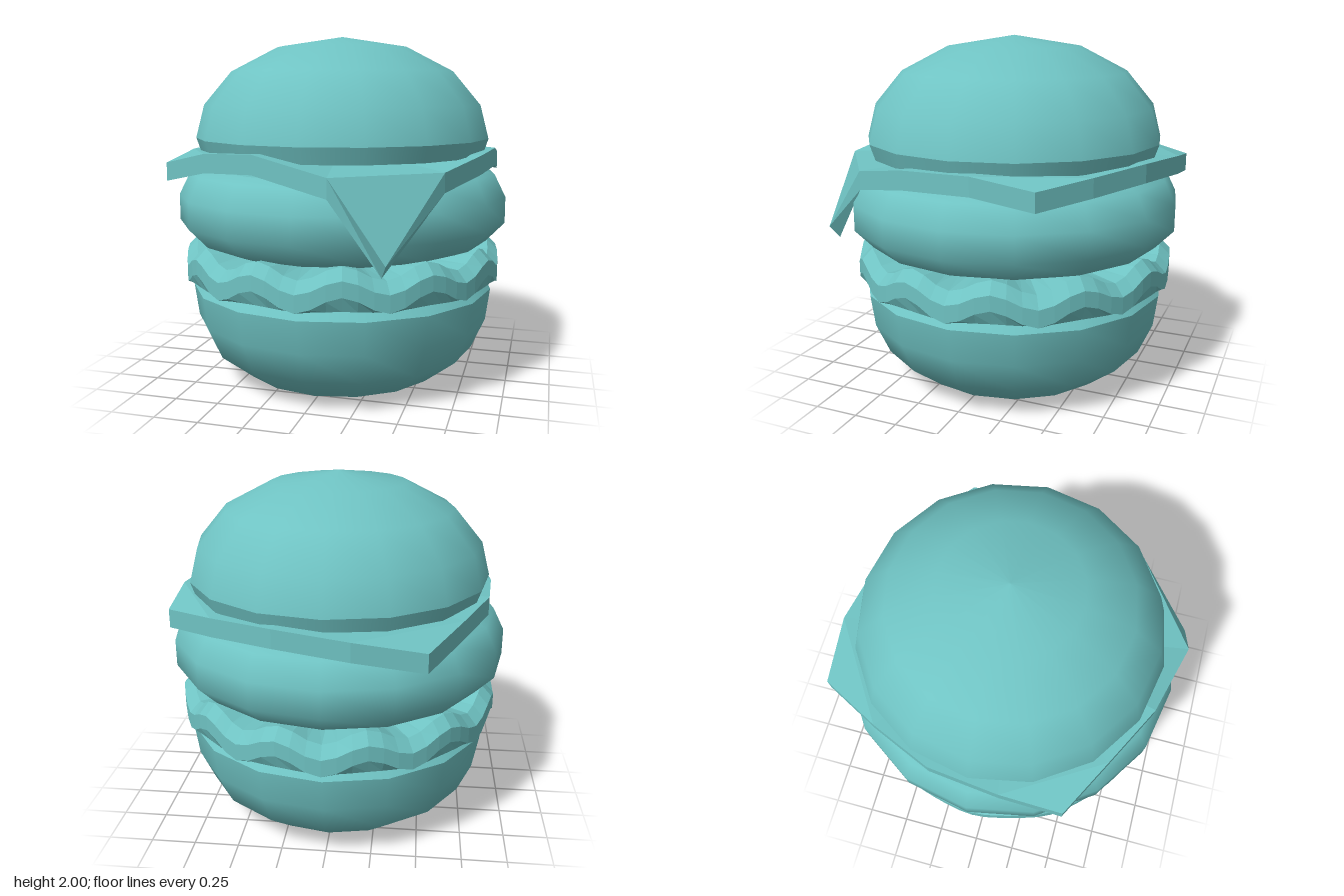
import * as THREE from 'three';
import { mergeGeometries } from 'three/addons/utils/BufferGeometryUtils.js';

const COLOR = 0x6fc3c3;
const CENTER_Z = -0.02;

function addMesh(group, name, geometry, flatShading) {
  const material = new THREE.MeshStandardMaterial({ color: COLOR, flatShading });
  const mesh = new THREE.Mesh(geometry, material);
  mesh.name = name;
  group.add(mesh);
  return mesh;
}

// Turned solid; each profile (bottom to top) is smooth, with a sharp edge where two meet
function turned(profiles, segments = 16) {
  return mergeGeometries(profiles.map((profile) =>
    new THREE.LatheGeometry(profile.map(([r, y]) => new THREE.Vector2(r, y)), segments)));
}

// Wavy ring: a turned section whose points rise and fall twelve times around
function lettuceGeometry() {
  // radius, height, wave size
  const section = [
    [0.6, 0.59, 0], [0.9, 0.6, 0.005], [0.93, 0.64, 0.045],
    [0.93, 0.73, 0.04], [0.87, 0.79, 0.04], [0.6, 0.78, 0.02],
  ];
  const geometry = turned([section], 72);
  const position = geometry.attributes.position;
  for (let i = 0; i < position.count; i++) {
    const angle = Math.atan2(position.getX(i), position.getZ(i));
    const wave = section[i % section.length][2];
    position.setY(i, position.getY(i) - wave * Math.cos(12 * angle));
  }
  return geometry;
}

// Square slice draped over the patty, with one corner hanging low at the front
function cheeseGeometry() {
  // Outline of the top face (x, y, z); every fourth point is a corner
  const top = [
    [0.48, 0.88, 0.98], [0.70, 1.29, 0.60], [0.85, 1.35, 0.25], [0.89, 1.36, -0.15],
    [0.88, 1.31, -0.49], [0.60, 1.34, -0.69], [0.25, 1.36, -0.87], [-0.15, 1.34, -0.96],
    [-0.52, 1.29, -0.94], [-0.70, 1.34, -0.60], [-0.85, 1.36, -0.25], [-0.89, 1.34, 0.15],
    [-0.89, 1.29, 0.50], [-0.58, 1.36, 0.67], [-0.24, 1.38, 0.85], [0.19, 1.29, 0.97],
  ];
  const n = top.length;
  const bottom = top.map(([x, y, z]) => [x, y - 0.104, z]);
  bottom[0] = [0.45, 0.81, 0.93];
  const points = [...top, ...bottom, [0, 1.36, CENTER_Z], [0, 1.25, CENTER_Z]];
  const faces = [];
  const pair = (a, b, c) => { // same triangle above and, reversed, below
    faces.push(a, b, c);
    faces.push(n + a, c === 2 * n ? 2 * n + 1 : n + c, n + b);
  };
  for (let i = 0; i < n; i++) {
    const next = (i + 1) % n;
    const before = (i + n - 1) % n;
    if (i % 4 === 0) { // corner flap and the fold behind it
      pair(i, next, before);
      pair(before, next, 2 * n);
    } else if (next % 4 !== 0) {
      pair(i, next, 2 * n);
    }
    faces.push(i, n + i, n + next, i, n + next, next); // rim
  }
  const geometry = new THREE.BufferGeometry();
  geometry.setAttribute('position', new THREE.Float32BufferAttribute(points.flat(), 3));
  geometry.setIndex(faces);
  const result = geometry.toNonIndexed();
  result.computeVertexNormals();
  return result;
}

export function createModel() {
  const group = new THREE.Group();
  group.name = 'burger';

  const bottomBun = turned([
    [[0, 0], [0.6, 0.03], [0.79, 0.18], [0.87, 0.36], [0.895, 0.545]],
    [[0.895, 0.545], [0.86, 0.59]],
    [[0.86, 0.59], [0, 0.6]],
  ]);
  const patty = turned([
    [[0, 0.8], [0.78, 0.8]],
    [[0.78, 0.8], [0.86, 0.83], [0.965, 0.94], [0.965, 1.09], [0.9, 1.22], [0.8, 1.25]],
    [[0.8, 1.25], [0, 1.26]],
  ]);
  const topBun = turned([
    [[0, 1.33], [0.83, 1.33]],
    [[0.83, 1.33], [0.86, 1.42]],
    [[0.86, 1.42], [0.81, 1.61], [0.65, 1.8], [0.38, 1.94], [0, 2]],
  ]);

  const round = [
    addMesh(group, 'bottomBun', bottomBun, false),
    addMesh(group, 'lettuce', lettuceGeometry(), true),
    addMesh(group, 'patty', patty, false),
    addMesh(group, 'topBun', topBun, false),
  ];
  round.forEach((mesh) => { mesh.position.z = CENTER_Z; });

  addMesh(group, 'cheese', cheeseGeometry(), true);
  return group;
}
